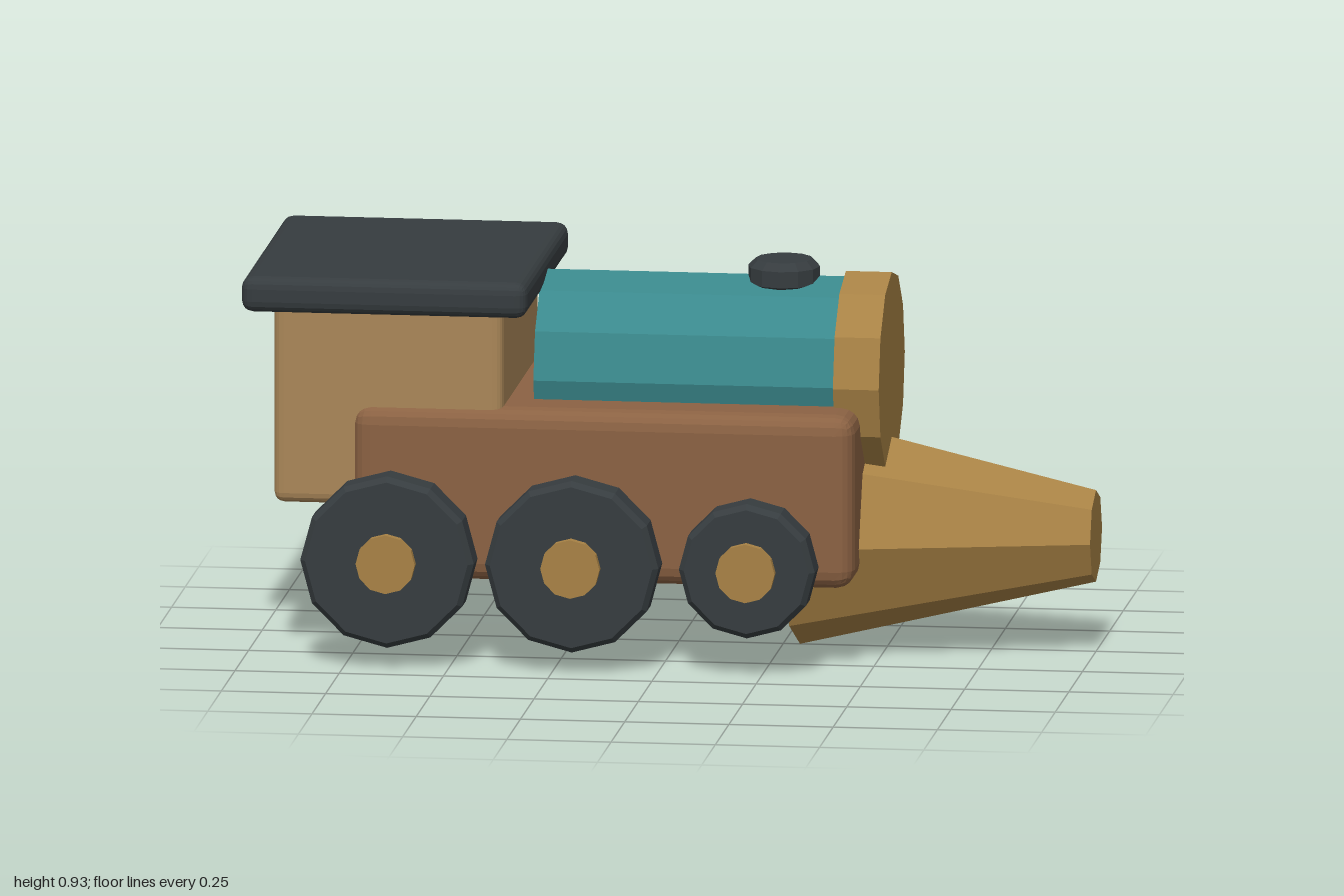
import * as THREE from 'three';
import { RoundedBoxGeometry } from 'three/addons/geometries/RoundedBoxGeometry.js';

const paint = (color) => {
  const m = new THREE.MeshStandardMaterial({ color, flatShading: true });
  return m;
};

export function createModel() {
  const model = new THREE.Group();
  model.name = 'toyTrain';
  const brown = paint(0x8b6243);
  const tan = paint(0xa98658);
  const gold = paint(0xa88245);
  const teal = paint(0x3a888c);
  const dark = paint(0x363c3f);

  const add = (name, geometry, material, x, y, z, parent = model) => {
    const mesh = new THREE.Mesh(geometry, material);
    mesh.name = name;
    mesh.position.set(x, y, z);
    parent.add(mesh);
    return mesh;
  };

  // Rounded box given by its limits along x and y and its half width in z
  const block = (name, material, x0, x1, y0, y1, halfZ, radius) =>
    add(name, new RoundedBoxGeometry(x1 - x0, y1 - y0, halfZ * 2, 2, radius),
      material, (x0 + x1) / 2, (y0 + y1) / 2, 0);

  // Faceted cylinder or cone lying along x, from x0 to x1
  const barrel = (name, material, x0, x1, r0, r1, y, sides) =>
    add(name, new THREE.CylinderGeometry(r1, r0, x1 - x0, sides).rotateZ(-Math.PI / 2),
      material, (x0 + x1) / 2, y, 0);

  // Bevelled disc standing along y, centred on its origin
  const bevelledDisc = (r, h, bevel) => new THREE.LatheGeometry([
    [0, -h / 2], [r - bevel, -h / 2], [r, -h / 2 + bevel],
    [r, h / 2 - bevel], [r - bevel, h / 2], [0, h / 2],
  ].map(([x, y]) => new THREE.Vector2(x, y)), 12);

  // Chassis, cab and roof
  block('chassis', brown, -0.74, 0.462, 0.2, 0.62, 0.355, 0.045);
  block('cab', tan, -0.93, -0.38, 0.375, 0.88, 0.332, 0.025);
  block('roof', dark, -1, -0.315, 0.847, 0.933, 0.4, 0.028);

  // Boiler with front cap, chimney and ploughing cone
  barrel('boiler', teal, -0.32, 0.41, 0.227, 0.227, 0.667, 12);
  barrel('boilerCap', gold, 0.4, 0.51, 0.24, 0.24, 0.667, 12);
  add('chimney', bevelledDisc(0.086, 0.075, 0.018), dark, 0.252, 0.897, 0);
  barrel('frontCone', gold, 0.29, 1, 0.28, 0.111, 0.28, 8);

  // Three wheels with hubs on each side
  for (const side of [1, -1]) {
    for (const [name, x, r] of [['rear', -0.645, 0.208], ['middle', -0.202, 0.208], ['front', 0.218, 0.163]]) {
      const wheel = new THREE.Group();
      wheel.name = name + (side > 0 ? 'WheelNear' : 'WheelFar');
      wheel.position.set(x, 0.258, side * 0.39);
      add('tyre', bevelledDisc(r, 0.098, 0.013).rotateX(Math.PI / 2), dark, 0, 0, 0, wheel);
      add('hub', new THREE.CylinderGeometry(0.071, 0.071, 0.12, 12).rotateX(Math.PI / 2),
        gold, 0, 0, side * 0.011, wheel);
      model.add(wheel);
    }
  }
  return model;
}
